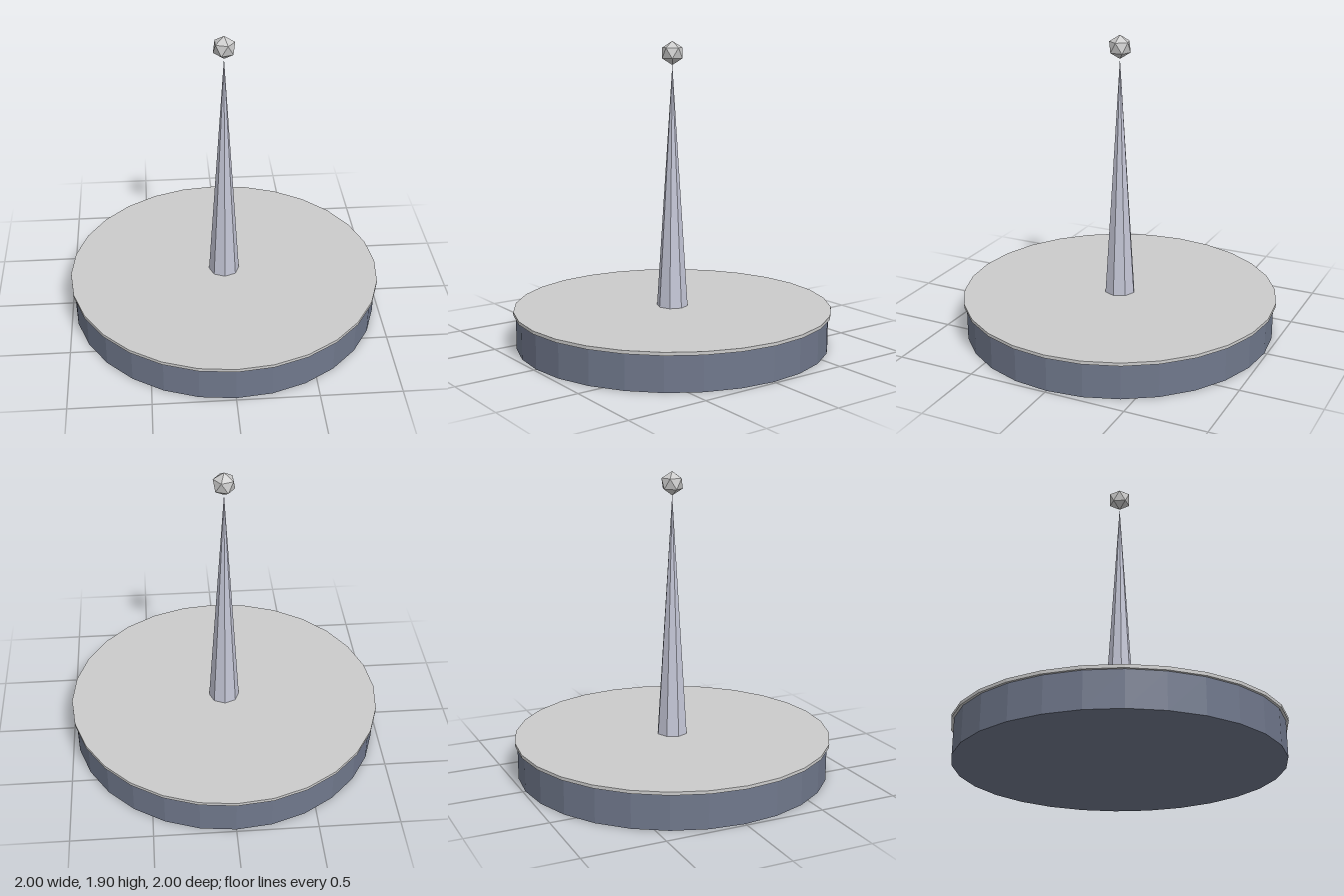
import * as THREE from 'three';

const material = (color) => new THREE.MeshStandardMaterial({ color, flatShading: true });

export function createModel() {
  const model = new THREE.Group();
  model.name = 'spireOnDisc';

  const add = (name, geometry, color, y) => {
    const mesh = new THREE.Mesh(geometry, material(color));
    mesh.name = name;
    mesh.position.y = y;
    model.add(mesh);
  };

  // Faceted drum and the thin, slightly wider plate on top
  const sides = 28, drumHeight = 0.217, plateTop = 0.237;
  const plateHeight = plateTop - drumHeight;
  add('drum', new THREE.CylinderGeometry(0.984, 0.984, drumHeight, sides), 0x70788c, drumHeight / 2);
  add('topPlate', new THREE.CylinderGeometry(1, 1, plateHeight, sides), 0xcccccc, drumHeight + plateHeight / 2);

  // Eight-sided spire standing on the plate
  const spireHeight = 1.755 - plateTop;
  add('spire', new THREE.ConeGeometry(0.098, spireHeight, 8), 0xc4c6d6, plateTop + spireHeight / 2);

  // Icosahedral finial, turned to stand on a corner
  const golden = (1 + Math.sqrt(5)) / 2;
  const finial = new THREE.IcosahedronGeometry(0.073, 0).rotateZ(-Math.atan(1 / golden));
  add('finial', finial, 0xcccccc, 1.823);

  return model;
}
